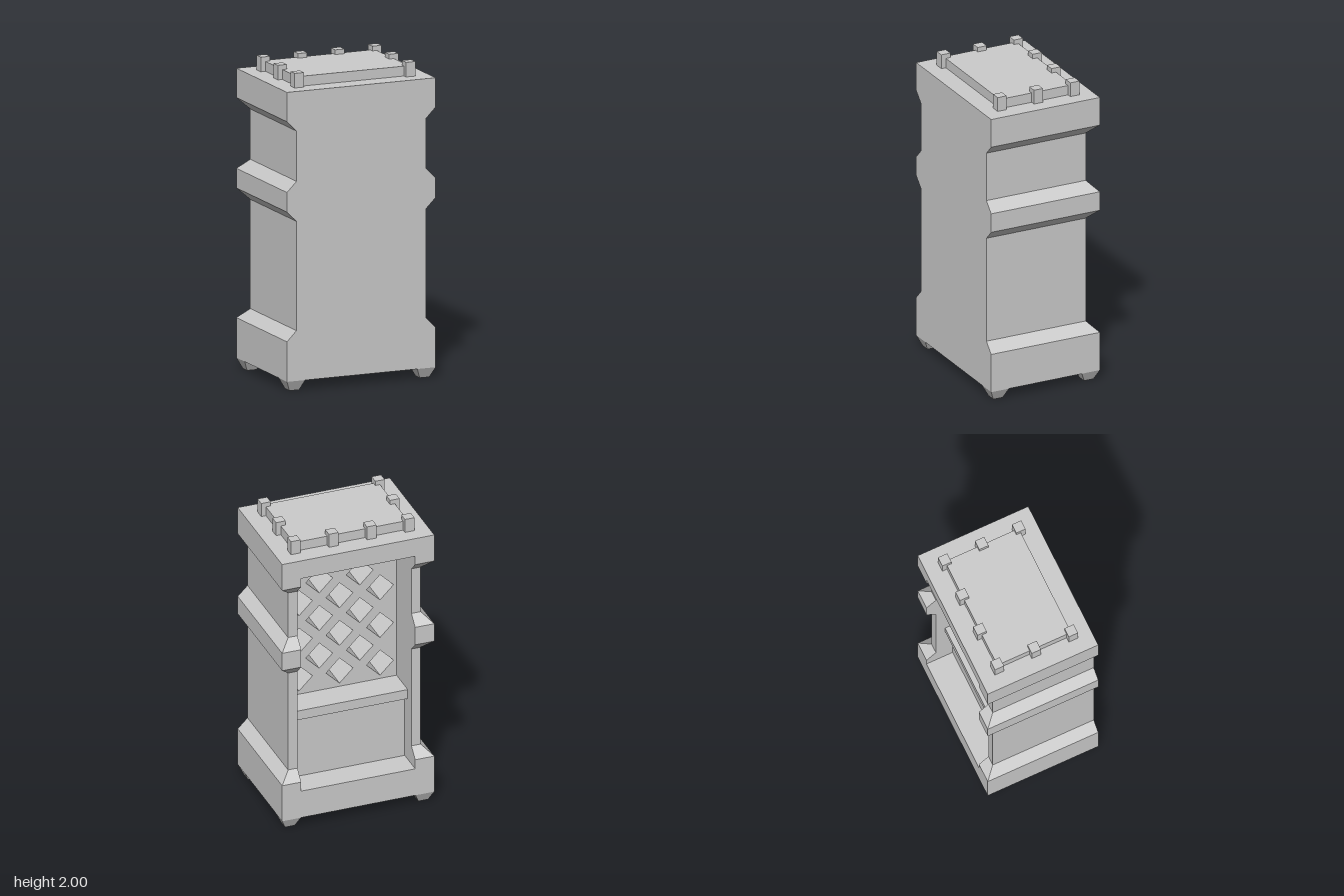
import * as THREE from 'three';

const W = 0.507, D = 0.38;          // half width and half depth of the wide bands
const NX = 0.38, NZ = -0.06;        // niche half width and back wall depth
const Y0 = 0.255, Y1 = 1.78;        // niche floor and ceiling

const material = new THREE.MeshStandardMaterial({ color: 0xcccccc, flatShading: true, side: THREE.DoubleSide });

function addMesh(parent, name, geometry, x = 0, y = 0, z = 0) {
  const mesh = new THREE.Mesh(geometry, material);
  mesh.name = name;
  mesh.position.set(x, y, z);
  parent.add(mesh);
  return mesh;
}

// Box given by its minimum and maximum corners
function addBox(parent, name, [x0, y0, z0], [x1, y1, z1]) {
  return addMesh(parent, name, new THREE.BoxGeometry(x1 - x0, y1 - y0, z1 - z0),
    (x0 + x1) / 2, (y0 + y1) / 2, (z0 + z1) / 2);
}

// U-shaped wall: flat front, chamfered bands on the sides and around the back lips
function wallGeometry() {
  // [height, inset]
  const levels = [[Y0, 0], [0.32, 0], [0.385, 0.065], [1.08, 0.065], [1.145, 0],
    [1.27, 0], [1.335, 0.065], [1.655, 0.065], [1.72, 0], [Y1, 0]];
  const ring = ([y, inset]) => {
    const w = W - inset, b = -D + inset;
    return [[-NX, NZ], [-NX, b], [-w, b], [-w, D], [w, D], [w, b], [NX, b], [NX, NZ]]
      .map(([x, z]) => [x, y, z]);
  };
  const positions = [];
  for (let k = 0; k < levels.length - 1; k++) {
    const low = ring(levels[k]), high = ring(levels[k + 1]);
    for (let i = 0; i < low.length - 1; i++) {
      const a = low[i], b = low[i + 1], c = high[i + 1], d = high[i];
      positions.push(...a, ...b, ...c, ...a, ...c, ...d);
    }
  }
  const geometry = new THREE.BufferGeometry();
  geometry.setAttribute('position', new THREE.Float32BufferAttribute(positions, 3));
  geometry.computeVertexNormals();
  return geometry;
}

// Panel pierced by staggered diamond holes
function latticeGeometry(bottom, depth) {
  const shape = new THREE.Shape([[-NX, bottom], [NX, bottom], [NX, Y1], [-NX, Y1]]
    .map(([x, y]) => new THREE.Vector2(x, y)));
  const step = 0.135, r = 0.09;
  for (let col = -2; col <= 2; col++) {
    const odd = Math.abs(col) % 2;
    for (let row = 0; row < 4 - odd; row++) {
      const x = col * step, y = 0.868 + (2 * row + odd) * step;
      shape.holes.push(new THREE.Path([[x, y - r], [x - r, y], [x, y + r], [x + r, y]]
        .map(([px, py]) => new THREE.Vector2(px, py))));
    }
  }
  return new THREE.ExtrudeGeometry(shape, { depth, bevelEnabled: false });
}

// Square foot narrowing toward the ground
function footGeometry() {
  const geometry = new THREE.CylinderGeometry(0.125 / Math.SQRT2, 0.065 / Math.SQRT2, 0.065, 4);
  return geometry.rotateY(Math.PI / 4);
}

export function createModel() {
  const model = new THREE.Group();
  model.name = 'cabinet';

  // Body
  addBox(model, 'base', [-W, 0.065, -D], [W, Y0, D]);
  addMesh(model, 'wall', wallGeometry());
  addBox(model, 'header', [-W, Y1, -D], [W, 1.907, D]);

  // Niche interior
  const niche = new THREE.Group();
  niche.name = 'niche';
  model.add(niche);
  addBox(niche, 'lowerPanel', [-NX, Y0, -0.2], [NX, 0.69, NZ]);
  addBox(niche, 'ledge', [-NX, 0.69, -0.252], [NX, 0.755, NZ]);
  addMesh(niche, 'lattice', latticeGeometry(0.755, 0.19), 0, 0, NZ);
  addBox(niche, 'latticeBacking', [-NX, 0.755, 0.13], [NX, Y1, 0.16]);

  // Feet
  for (const sx of [-1, 1]) for (const sz of [-1, 1]) {
    addMesh(model, 'foot', footGeometry(), sx * (W - 0.0625), 0.0325, sz * (D - 0.0625));
  }

  // Lid with studs on the sides and back
  addBox(model, 'lid', [-0.38, 1.907, -0.254], [0.38, 1.97, 0.254]);
  const studs = [-0.127, 0.127].map((x) => [x, -0.254]);
  for (const x of [-0.38, 0.38]) for (const z of [-0.254, 0, 0.254]) studs.push([x, z]);
  for (const [x, z] of studs) {
    addBox(model, 'stud', [x - 0.0315, 1.907, z - 0.0315], [x + 0.0315, 2, z + 0.0315]);
  }

  return model;
}
